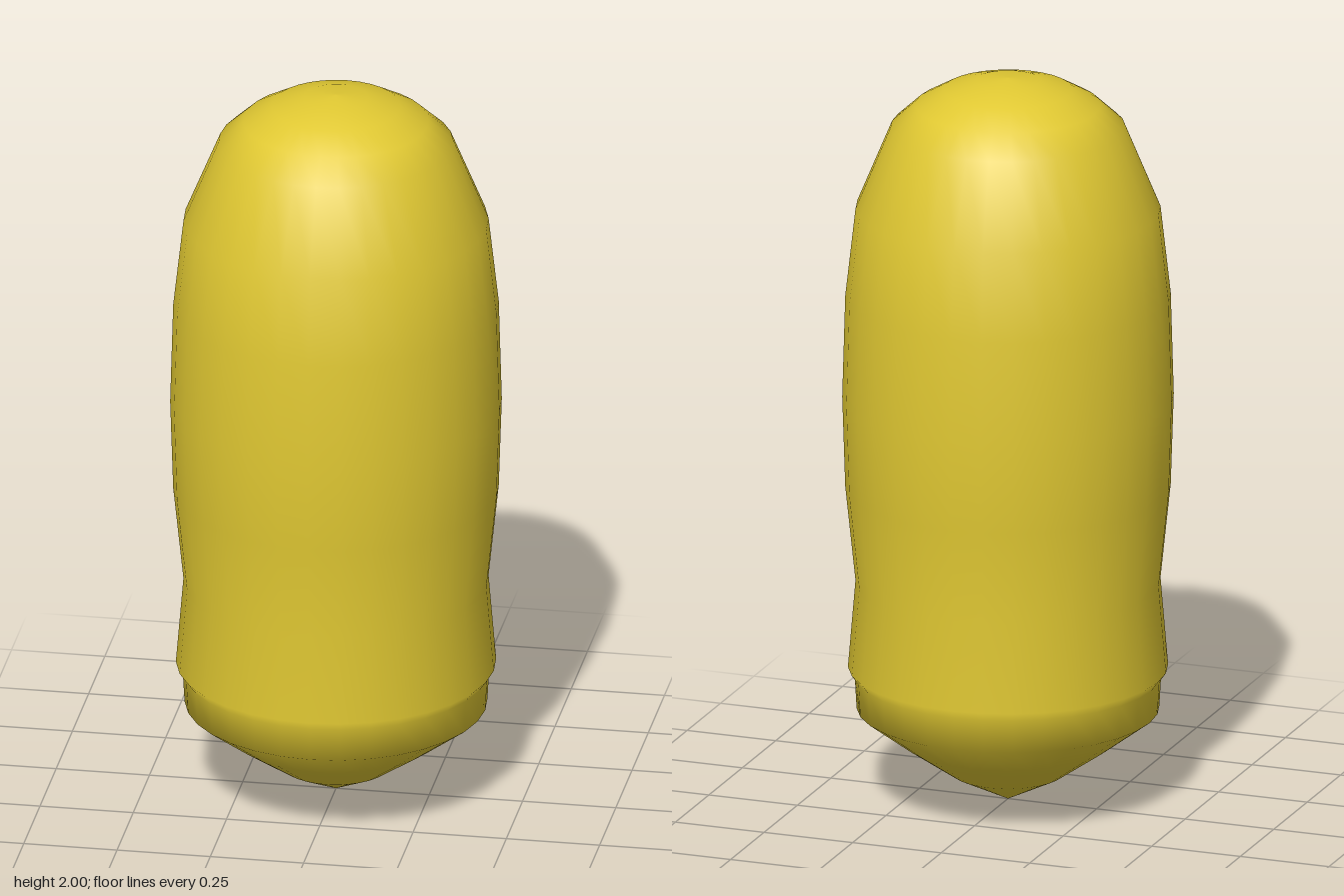
import * as THREE from 'three';

export function createModel() {
  const group = new THREE.Group();
  group.name = 'capsule';
  const material = new THREE.MeshStandardMaterial({ color: 0xe0c832 });

  // Profile as [radius, height], from the pointed base to the domed top
  const profile = [
    [0, 0], [0.15, 0.075], [0.28, 0.165], [0.4, 0.255], // conical base
    [0.405, 0.345], [0.423, 0.37],                      // neck and collar lip
    [0.403, 0.61], [0.43, 0.87], [0.438, 1.12],         // bulging body
    [0.43, 1.4], [0.403, 1.64], [0.31, 1.865],          // shoulder
    [0.245, 1.925], [0.17, 1.968], [0.085, 1.993], [0, 2], // dome
  ].map(([r, y]) => new THREE.Vector2(r, y));

  const body = new THREE.Mesh(new THREE.LatheGeometry(profile, 32), material);
  body.name = 'body';
  group.add(body);
  return group;
}
